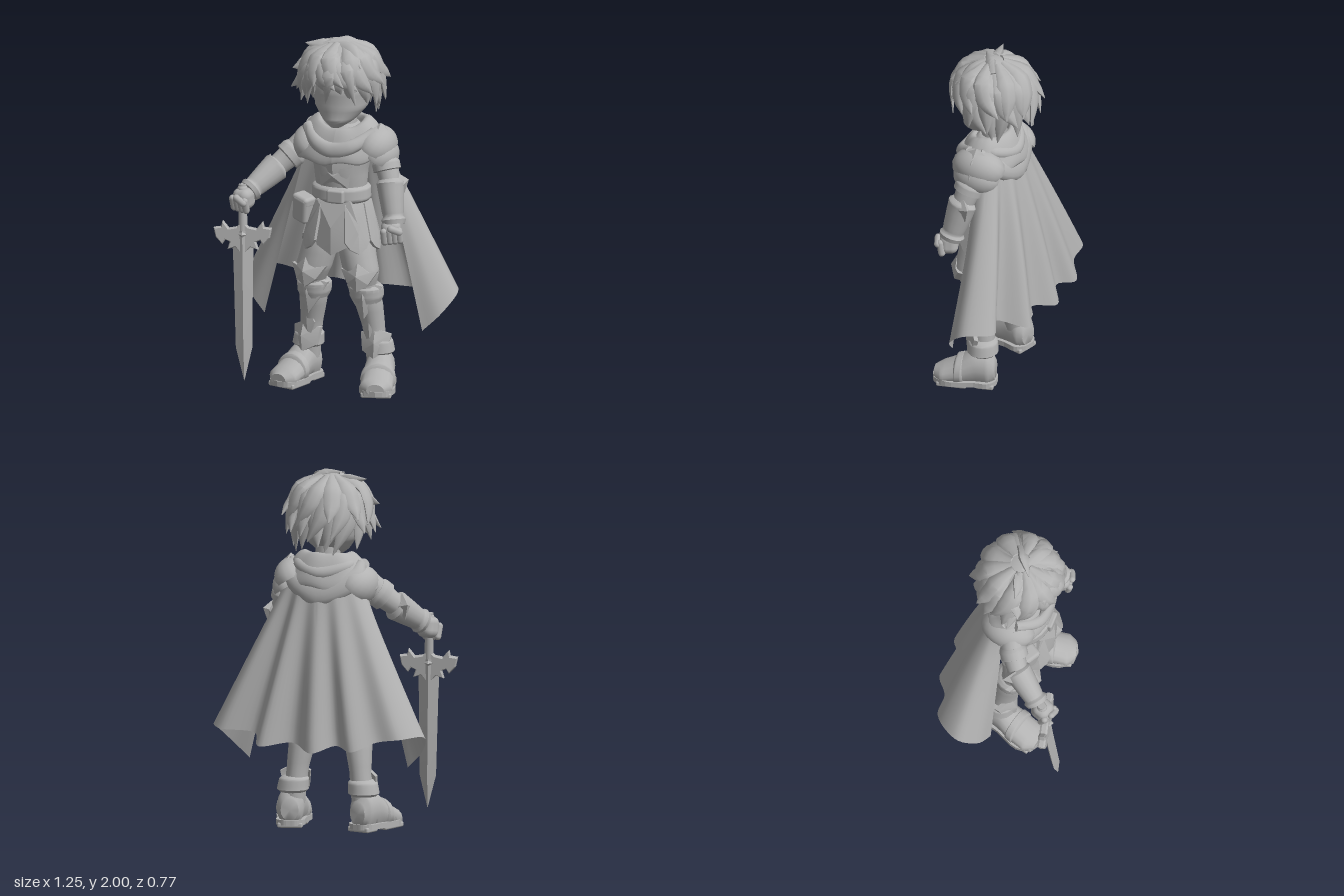
import * as THREE from 'three';
import { toCreasedNormals } from 'three/addons/utils/BufferGeometryUtils.js';
import { RoundedBoxGeometry } from 'three/addons/geometries/RoundedBoxGeometry.js';

const grey = new THREE.MeshStandardMaterial({ color: 0xb2b2b2, side: THREE.DoubleSide });
grey.name = 'clay grey';
const V = (x, y, z) => new THREE.Vector3(x, y, z);
const Y = V(0, 1, 0), Z = V(0, 0, 1);

function add(parent, name, geo, pos = [0, 0, 0], rot = [0, 0, 0], scale = [1, 1, 1]) {
  const mesh = new THREE.Mesh(geo, grey);
  mesh.name = name;
  mesh.position.set(...pos);
  mesh.rotation.set(...rot);
  mesh.scale.set(...scale);
  parent.add(mesh);
  return mesh;
}

function build(pos, idx, crease = 0.8) {
  const g = new THREE.BufferGeometry();
  g.setAttribute('position', new THREE.Float32BufferAttribute(pos, 3));
  g.setIndex(idx);
  return toCreasedNormals(g, crease);
}

// Oval rings [x, y, z, halfWidth, halfDepth] joined along a smooth path; a fixed axis keeps rings parallel
function sweep(st, { ref = Z, axis = null, sides = 16, steps = 5, crease = 0.8, rule = null } = {}) {
  const curve = new THREE.CatmullRomCurve3(st.map(s => V(s[0], s[1], s[2])));
  const n = (st.length - 1) * steps, pos = [], idx = [];
  const put = p => { if (rule) rule(p); pos.push(p.x, p.y, p.z); };
  for (let i = 0; i <= n; i++) {
    const k = Math.min(Math.floor(i / steps), st.length - 2), f = i / steps - k;
    const w = THREE.MathUtils.lerp(st[k][3], st[k + 1][3], f), d = THREE.MathUtils.lerp(st[k][4], st[k + 1][4], f);
    const c = curve.getPoint(i / n), t = axis || curve.getTangent(i / n);
    const s = t.clone().cross(ref).normalize(), m = t.clone().cross(s).normalize();
    for (let j = 0; j < sides; j++) {
      const a = j / sides * Math.PI * 2, b = (j + 1) % sides;
      put(c.clone().addScaledVector(s, w * Math.cos(a)).addScaledVector(m, d * Math.sin(a)));
      if (i < n) {
        const p = i * sides + j, q = i * sides + b;
        idx.push(p, q, q + sides, p, q + sides, p + sides);
      }
    }
  }
  const c0 = pos.length / 3;
  put(curve.getPoint(0));
  put(curve.getPoint(1));
  for (let j = 0; j < sides; j++) {
    const b = (j + 1) % sides;
    idx.push(c0, b, j, c0 + 1, n * sides + j, n * sides + b);
  }
  return build(pos, idx, crease);
}

// Ridged armour plate: a raised centre over an outline that wraps back at its sides
function plate(outline, h = 0.03, t = 0.015, wrap = 2) {
  const n = outline.length, pos = [], idx = [];
  const cy = outline.reduce((a, p) => a + p[1], 0) / n;
  for (const z of [0, -t]) for (const [x, y] of outline) pos.push(x, y, z - wrap * x * x);
  pos.push(0, cy, h, 0, cy, h - t);
  for (let i = 0; i < n; i++) {
    const j = (i + 1) % n;
    idx.push(2 * n, i, j, 2 * n + 1, n + j, n + i, i, n + i, n + j, i, n + j, j);
  }
  return build(pos, idx, 0.3);
}
const mirrorOutline = half => [...half, ...half.slice().reverse().filter(p => p[0] !== 0).map(([x, y]) => [-x, y])];

function makeHead(g) {
  add(g, 'head', sweep([[0, 1.51, 0.1, 0.03, 0.035], [0, 1.55, 0.055, 0.09, 0.105], [0, 1.62, 0.02, 0.148, 0.14],
    [0, 1.72, 0, 0.17, 0.165], [0, 1.84, -0.01, 0.15, 0.15], [0, 1.92, -0.01, 0.05, 0.05]], { axis: Y, crease: 1.2, sides: 24 }));
  add(g, 'neck', new THREE.CylinderGeometry(0.065, 0.08, 0.18, 16), [0, 1.5, -0.02]);
  add(g, 'hairCap', new THREE.SphereGeometry(1, 28, 16, 0, Math.PI * 2, 0, Math.PI * 0.6), [-0.01, 1.775, -0.01], [-0.4, 0, 0], [0.2, 0.2, 0.21]);
  // Long tapering locks sweep from the crown: [count, mid radius, mid y, low radius, low y, tip radius, tip y, half width]
  const rows = [[15, 0.185, 1.84, 0.21, 1.72, 0.222, 1.575, 0.058], [13, 0.19, 1.87, 0.23, 1.77, 0.268, 1.65, 0.056], [11, 0.175, 1.905, 0.224, 1.83, 0.278, 1.73, 0.06]];
  rows.forEach(([count, r1, y1, r2, y2, r3, y3, w], row) => {
    for (let i = 0; i < count; i++) {
      const a = (i + 0.5 + row * 0.35) / count * Math.PI * 2, front = Math.max(0, Math.cos(a)), left = Math.max(0, Math.sin(a));
      const wob = Math.sin(i * 4.7 + row * 2.1), swirl = 0.1 * wob + 0.1 * Math.sin(a + 0.6);
      const rt = r3 - 0.045 * front - 0.02 * left + 0.015 * wob, rl = r2 - 0.012 * front - 0.012 * left;
      const yt = y3 + front * [0.14, 0.08, 0.02][row] + 0.025 * wob, yl = y2 + front * [0.07, 0.04, 0.01][row];
      const at = (b, r, y, ww, d) => [-0.01 + Math.sin(b) * r, y, -0.01 + Math.cos(b) * r, ww, d];
      add(g, 'hairLock', sweep([at(a - swirl * 2, 0.05, 1.945 + row * 0.008, 0.025, 0.02), at(a - swirl, r1, y1, w * 0.9, 0.027), at(a, rl, yl, w * 0.85, 0.025),
        at(a + swirl, (rl + rt) / 2, (yl + yt) / 2, w * 0.5, 0.018), at(a + swirl * 2, rt, yt, 0.002, 0.002)],
      { ref: V(Math.sin(a), 0.35, Math.cos(a)).normalize(), sides: 8, steps: 3 }));
    }
  });
  // Loose tufts on the crown, fringe and sides
  for (const [p, q, r] of [[[-0.02, 1.93, 0], [-0.12, 1.94, 0.02], [-0.21, 1.95, 0.03]], [[0.08, 1.92, -0.04], [0.02, 1.965, 0], [-0.07, 1.975, 0.06]],
    [[-0.05, 1.94, 0.02], [0.08, 1.94, 0.08], [0.16, 1.87, 0.14]], [[-0.02, 1.93, 0.08], [0, 1.82, 0.215], [-0.03, 1.66, 0.185]],
    [[0.02, 1.94, 0.05], [0.09, 1.85, 0.18], [0.14, 1.66, 0.165]], [[-0.04, 1.94, 0.05], [-0.11, 1.85, 0.17], [-0.15, 1.64, 0.155]],
    [[-0.15, 1.84, 0], [-0.23, 1.75, 0.03], [-0.3, 1.685, 0.02]], [[-0.13, 1.88, 0], [-0.22, 1.83, 0.05], [-0.27, 1.81, 0.07]]])
    add(g, 'hairTuft', sweep([[...p, 0.045, 0.025], [...q, 0.045, 0.025], [...r, 0.002, 0.002]], { ref: V(p[0], 0.5, 0.6).normalize(), sides: 8 }));
}

function makeTorso(g) {
  add(g, 'torso', sweep([[0, 0.88, 0.01, 0.15, 0.11], [0, 1.0, 0.02, 0.165, 0.125], [0, 1.13, 0.02, 0.142, 0.115],
    [0, 1.26, 0.025, 0.155, 0.125], [0, 1.38, 0.015, 0.185, 0.13], [0, 1.46, -0.01, 0.16, 0.11], [0, 1.51, -0.02, 0.08, 0.08]], { axis: Y, sides: 24 }));
  const chest = mirrorOutline([[0, -0.09], [0.1, -0.04], [0.13, 0.05], [0.07, 0.1]]);
  add(g, 'breastplate', plate(chest, 0.02, 0.02, 2.5), [0, 1.33, 0.15], [-0.05, 0, 0]);
  add(g, 'abdomenPlate', plate(mirrorOutline([[0.08, -0.06], [0.1, 0.06], [0, 0.04]]), 0.015, 0.02, 2.5), [0, 1.23, 0.145]);
  // Belt, buckle and pouch
  add(g, 'belt', sweep([[0, 1.08, 0.02, 0.155, 0.128], [0, 1.095, 0.02, 0.168, 0.14], [0, 1.155, 0.02, 0.165, 0.138], [0, 1.17, 0.02, 0.145, 0.122]], { axis: Y, sides: 24 }));
  add(g, 'buckle', new RoundedBoxGeometry(0.1, 0.075, 0.035, 2, 0.012), [0.02, 1.125, 0.16]);
  add(g, 'pouch', new RoundedBoxGeometry(0.11, 0.15, 0.08, 2, 0.02), [-0.195, 1.02, 0.1], [0.1, -0.5, -0.12]);
  add(g, 'pouchFlap', new RoundedBoxGeometry(0.12, 0.06, 0.09, 2, 0.02), [-0.19, 1.07, 0.1], [0.1, -0.5, -0.12]);
  // Tunic hem and hanging hip plates
  add(g, 'tunicHem', sweep([[0, 0.93, 0.01, 0.19, 0.143], [0, 1.0, 0.015, 0.18, 0.138], [0, 1.1, 0.02, 0.145, 0.12]], { axis: Y, sides: 24 }));
  const tasset = mirrorOutline([[0, -0.28], [0.05, -0.25], [0.075, -0.21], [0.055, 0]]);
  for (const a of [0.8, 1.6, 2.4, 3.14, -0.8, -1.6, -2.4])
    add(g, 'hipPlate', plate(tasset, 0.015, 0.015, 1.5), [Math.sin(a) * 0.16, 1.08, 0.02 + Math.cos(a) * 0.135]).rotation.set(-0.24, a, 0, 'YXZ');
  add(g, 'frontPlate', plate(mirrorOutline([[0, -0.19], [0.09, -0.14], [0.14, 0], [0.1, 0.12]]), 0.02, 0.02, 1.5), [0, 0.98, 0.165], [-0.08, 0, 0]);
}

function makeCape(g) {
  // Hem path from one front corner around the back to the other
  const hem = new THREE.CatmullRomCurve3([[0.47, 0.36, 0], [0.57, 0.46, -0.03], [0.625, 0.56, -0.14], [0.53, 0.56, -0.285], [0.36, 0.54, -0.215],
    [0.27, 0.49, -0.375], [0.1, 0.51, -0.3], [-0.045, 0.47, -0.39], [-0.165, 0.51, -0.32], [-0.28, 0.49, -0.385], [-0.4, 0.54, -0.31],
    [-0.53, 0.56, -0.3], [-0.625, 0.56, -0.16], [-0.57, 0.46, -0.05], [-0.47, 0.36, -0.01]].map(p => V(...p)));
  const nu = 84, nv = 10, pos = [], idx = [];
  for (let j = 0; j <= nv; j++) for (let i = 0; i <= nu; i++) {
    const u = i / nu, t = j / nv, a = (u - 0.5) * Math.PI;
    const p = V(-Math.sin(a) * 0.21, 1.43, -0.03 - Math.cos(a) * 0.13).lerp(hem.getPoint(u), t);
    p.z -= Math.sin(t * Math.PI) * 0.012 * Math.cos(a);
    pos.push(p.x, p.y, p.z);
    if (i < nu && j < nv) {
      const k = j * (nu + 1) + i, m = k + nu + 1;
      idx.push(k, k + 1, m + 1, k, m + 1, m);
    }
  }
  add(g, 'cape', build(pos, idx, 1.2));
  // Cowl dips at the front, spreads over the right shoulder and has soft folds
  const profile = [[0.1, 1.47], [0.115, 1.535], [0.15, 1.545], [0.19, 1.51], [0.225, 1.45], [0.25, 1.4], [0.25, 1.36], [0.2, 1.365]];
  const cowl = new THREE.LatheGeometry(new THREE.SplineCurve(profile.map(p => new THREE.Vector2(...p))).getPoints(20), 48);
  const p = cowl.attributes.position;
  for (let i = 0; i < p.count; i++) {
    const x = p.getX(i), z = p.getZ(i), r = Math.hypot(x, z), a = Math.atan2(x, z), spread = Math.max(0, -Math.sin(a)) * Math.max(0, r - 0.15);
    p.setX(i, x * (1 + spread * 1.6));
    p.setY(i, p.getY(i) - 0.05 * Math.max(0, Math.cos(a)) + 0.01 * Math.sin(a * 7) * (r - 0.1) * 6 - spread * 0.25);
    p.setZ(i, z * 0.72 - 0.01);
  }
  cowl.computeVertexNormals();
  add(g, 'cowl', cowl);
  add(g, 'hood', sweep([[-0.2, 1.48, -0.02, 0.03, 0.04], [-0.18, 1.41, -0.1, 0.065, 0.045], [0, 1.34, -0.15, 0.09, 0.045],
    [0.17, 1.41, -0.1, 0.06, 0.045], [0.2, 1.48, -0.02, 0.03, 0.04]], { ref: V(0, 0.4, -1).normalize() }));
  add(g, 'hoodRim', sweep([[-0.15, 1.5, 0, 0.025, 0.025], [-0.14, 1.48, -0.09, 0.035, 0.03], [0, 1.44, -0.15, 0.04, 0.035],
    [0.14, 1.48, -0.09, 0.035, 0.03], [0.15, 1.5, 0, 0.025, 0.025]], { ref: V(0, 0.6, -1).normalize() }));
  add(g, 'scarfFold', sweep([[-0.2, 1.48, 0.03, 0.03, 0.025], [-0.1, 1.41, 0.13, 0.04, 0.03], [0, 1.385, 0.15, 0.045, 0.025],
    [0.1, 1.41, 0.13, 0.04, 0.03], [0.2, 1.48, 0.03, 0.03, 0.025]], { ref: V(0, 0.2, 1).normalize() }));
}

function makeFist(g, name, pos, rot) {
  const fist = new THREE.Group();
  fist.name = name;
  fist.position.set(...pos);
  fist.rotation.set(...rot);
  add(fist, 'palm', new RoundedBoxGeometry(0.11, 0.12, 0.105, 3, 0.04));
  for (let i = 0; i < 4; i++) add(fist, 'finger', new THREE.CapsuleGeometry(0.02, 0.06, 4, 8), [-0.042 + i * 0.028, -0.02, 0.042], [0.15, 0, 0]);
  add(fist, 'thumb', new THREE.CapsuleGeometry(0.02, 0.05, 4, 8), [0.02, 0.015, 0.06], [0, 0, 1.1]);
  g.add(fist);
}

function makeArms(g) {
  const arms = [
    { side: 'right', s: -1, path: [[-0.19, 1.4, 0], [-0.275, 1.32, 0.045], [-0.365, 1.23, 0.12], [-0.455, 1.13, 0.26]], pads: [[0.18, 1.36, 1]], tilt: 0.75 },
    { side: 'left', s: 1, path: [[0.2, 1.42, -0.01], [0.255, 1.3, 0], [0.295, 1.18, 0.03], [0.335, 0.98, 0.08]], pads: [[0.19, 1.385, 1], [0.215, 1.335, 0.88]], tilt: 0.55 }];
  for (const { side, s, path, pads, tilt } of arms) {
    const [a, b, c, d] = path.map(q => V(...q)), mix = (p, q, t, w, e) => [...p.clone().lerp(q, t).toArray(), w, e];
    const ref = s < 0 ? V(0, 1, 0.2) : Z;
    add(g, side + 'Arm', sweep([mix(a, b, 0, 0.07, 0.08), mix(a, b, 1, 0.064, 0.072), mix(c, d, 0, 0.055, 0.06), mix(c, d, 1, 0.045, 0.05)], { ref }));
    add(g, side + 'ArmBand', sweep([mix(b, c, -0.15, 0.065, 0.075), mix(b, c, 0, 0.076, 0.085), mix(b, c, 0.3, 0.076, 0.084), mix(b, c, 0.35, 0.05, 0.06)], { ref }));
    add(g, side + 'Bracer', sweep([mix(c, d, -0.2, 0.06, 0.06), mix(c, d, -0.1, 0.076, 0.085), mix(c, d, 0.3, 0.068, 0.075), mix(c, d, 0.8, 0.056, 0.06), mix(c, d, 0.88, 0.068, 0.072), mix(c, d, 1, 0.06, 0.065)], { ref }));
    add(g, side + 'ElbowGuard', new THREE.OctahedronGeometry(0.06), [c.x + s * 0.04, c.y + 0.01, c.z - 0.03], [0, s * 0.8, s * 0.3], [1, 1.3, 0.7]);
    // Layered shoulder guard
    for (const [x, y, k] of pads)
      add(g, side + 'ShoulderGuard', new THREE.SphereGeometry(1, 18, 8, 0, Math.PI * 2, 0, Math.PI / 2), [s * x, y, -0.02], [0, 0, -s * tilt], [0.11 * k, 0.12 * k, 0.155 * k]);
  }
  add(g, 'shoulderPlate', plate(mirrorOutline([[0, -0.09], [0.1, -0.04], [0.08, 0.05], [0, 0.09]]), 0.025, 0.02, 3), [0.265, 1.445, -0.02]).rotation.set(-0.55, Math.PI / 2, 0, 'YXZ');
  makeFist(g, 'rightHand', [-0.47, 1.1, 0.295], [0.2, -0.3, 0]);
  makeFist(g, 'leftHand', [0.325, 0.945, 0.095], [0, 0.4, 0.1]);
}

function makeSword(g) {
  const sword = new THREE.Group();
  sword.name = 'sword';
  sword.position.set(-0.475, 1.1, 0.3);
  sword.rotation.set(-0.073, 0.22, 0.039, 'XZY');
  add(sword, 'grip', new THREE.CylinderGeometry(0.022, 0.026, 0.28, 12), [0, -0.06, 0]);
  add(sword, 'pommel', new THREE.SphereGeometry(0.03, 12, 8), [0, 0.05, 0]);
  add(sword, 'blade', sweep([[0, -0.18, 0, 0.062, 0.03], [0, -0.4, 0, 0.054, 0.027], [0, -0.84, 0, 0.046, 0.024], [0, -1.025, 0, 0.001, 0.001]], { axis: V(0, -1, 0), sides: 4, steps: 1, crease: 0.2 }));
  const outline = mirrorOutline([[0, 0.06], [0.03, 0.03], [0.08, 0.02], [0.11, 0.06], [0.115, 0.03], [0.155, 0.025], [0.145, -0.02],
    [0.115, -0.055], [0.1, -0.03], [0.065, -0.045], [0.08, -0.085], [0.04, -0.07], [0, -0.12]]);
  const guard = new THREE.ExtrudeGeometry(new THREE.Shape(outline.map(q => new THREE.Vector2(...q))), { depth: 0.024, bevelSize: 0.006, bevelThickness: 0.01, bevelSegments: 1 });
  add(sword, 'guard', guard, [0, -0.195, -0.012]);
  add(sword, 'guardStud', new THREE.OctahedronGeometry(0.045), [0, -0.2, 0]);
  g.add(sword);
}

function makeLegs(g) {
  const knee = mirrorOutline([[0, -0.085], [0.06, -0.04], [0.105, 0.035], [0.06, 0.03], [0, 0.08]]);
  for (const s of [-1, 1]) {
    const leg = new THREE.Group();
    leg.name = s < 0 ? 'rightLeg' : 'leftLeg';
    leg.position.x = -0.014;
    const st = a => a.map(([x, ...r]) => [s * x, ...r]);
    add(leg, 'thigh', sweep(st([[0.09, 0.95, 0.01, 0.09, 0.1], [0.11, 0.8, 0.03, 0.102, 0.108], [0.14, 0.68, 0.045, 0.1, 0.1], [0.15, 0.61, 0.04, 0.075, 0.075]]), { axis: Y }));
    add(leg, 'shin', sweep(st([[0.15, 0.64, 0.03, 0.072, 0.075], [0.165, 0.48, -0.01, 0.076, 0.085], [0.185, 0.33, -0.035, 0.06, 0.07], [0.205, 0.12, -0.045, 0.06, 0.065]]), { axis: Y }));
    add(leg, 'bootCuff', sweep(st([[0.156, 0.5, 0, 0.08, 0.085], [0.155, 0.53, 0, 0.094, 0.095], [0.153, 0.58, 0.005, 0.097, 0.098], [0.152, 0.6, 0.01, 0.08, 0.08]]), { axis: Y }));
    add(leg, 'kneeGuard', plate(knee, 0.03, 0.03, 4), [s * 0.155, 0.67, 0.145], [-0.1, s * 0.12, 0]);
    add(leg, 'shinGuard', plate(mirrorOutline([[0, -0.12], [0.06, -0.03], [0.1, 0.06], [0, 0.1]]), 0.02, 0.025, 5), [s * 0.165, 0.53, 0.08], [0.1, s * 0.15, 0]);
    add(leg, 'shinRidge', plate(mirrorOutline([[0, -0.12], [0.04, 0], [0, 0.12]]), 0.01, 0.02, 4), [s * 0.183, 0.35, 0.035], [0.12, s * 0.15, 0]);
    add(leg, 'ankleCuff', sweep(st([[0.21, 0.195, -0.048, 0.07, 0.072], [0.21, 0.21, -0.048, 0.088, 0.088], [0.203, 0.27, -0.045, 0.082, 0.082], [0.2, 0.285, -0.042, 0.065, 0.065]]), { axis: Y }));
    add(leg, 'ankleGuard', plate(mirrorOutline([[0, -0.08], [0.07, -0.04], [0.085, 0.06], [0, 0.09]]), 0.02, 0.025, 6), [s * 0.212, 0.26, 0.035], [-0.15, s * 0.2, 0]);
    // Boot, toes turned out
    const foot = new THREE.Group();
    foot.name = 'boot';
    foot.position.set(s * 0.23, 0, -0.01);
    foot.rotation.y = s * 0.26;
    add(foot, 'bootUpper', sweep([[0, 0.1, -0.115, 0.05, 0.06], [0, 0.11, -0.08, 0.075, 0.11], [0, 0.115, 0, 0.08, 0.11], [0, 0.08, 0.09, 0.092, 0.08],
      [0, 0.055, 0.18, 0.092, 0.055], [0, 0.05, 0.225, 0.05, 0.035]], { ref: Y, axis: Z, rule: q => { q.y = Math.max(q.y, 0.03); } }));
    const soleShape = new THREE.Shape(new THREE.SplineCurve(mirrorOutline([[0, -0.235], [0.065, -0.215], [0.1, -0.13], [0.08, 0], [0.08, 0.08], [0.04, 0.12], [0, 0.125]]).map(q => new THREE.Vector2(...q))).getPoints(36));
    add(foot, 'sole', new THREE.ExtrudeGeometry(soleShape, { depth: 0.03, bevelEnabled: false }), [0, 0.015, 0], [-Math.PI / 2, 0, 0]);
    add(foot, 'heel', new RoundedBoxGeometry(0.14, 0.03, 0.1, 2, 0.01), [0, 0.015, -0.065]);
    add(foot, 'tread', new RoundedBoxGeometry(0.17, 0.03, 0.17, 2, 0.01), [0, 0.015, 0.12]);
    add(foot, 'instepStrap', sweep([[0, 0.085, 0.055, 0.085, 0.085], [0, 0.085, 0.065, 0.097, 0.097], [0, 0.08, 0.1, 0.099, 0.089], [0, 0.075, 0.11, 0.085, 0.075]], { ref: Y, axis: Z, rule: q => { q.y = Math.max(q.y, 0.03); } }));
    leg.add(foot);
    g.add(leg);
  }
}

export function createModel() {
  const model = new THREE.Group();
  model.name = 'swordsman';
  [makeHead, makeTorso, makeCape, makeArms, makeSword, makeLegs].forEach(make => make(model));
  return model;
}
